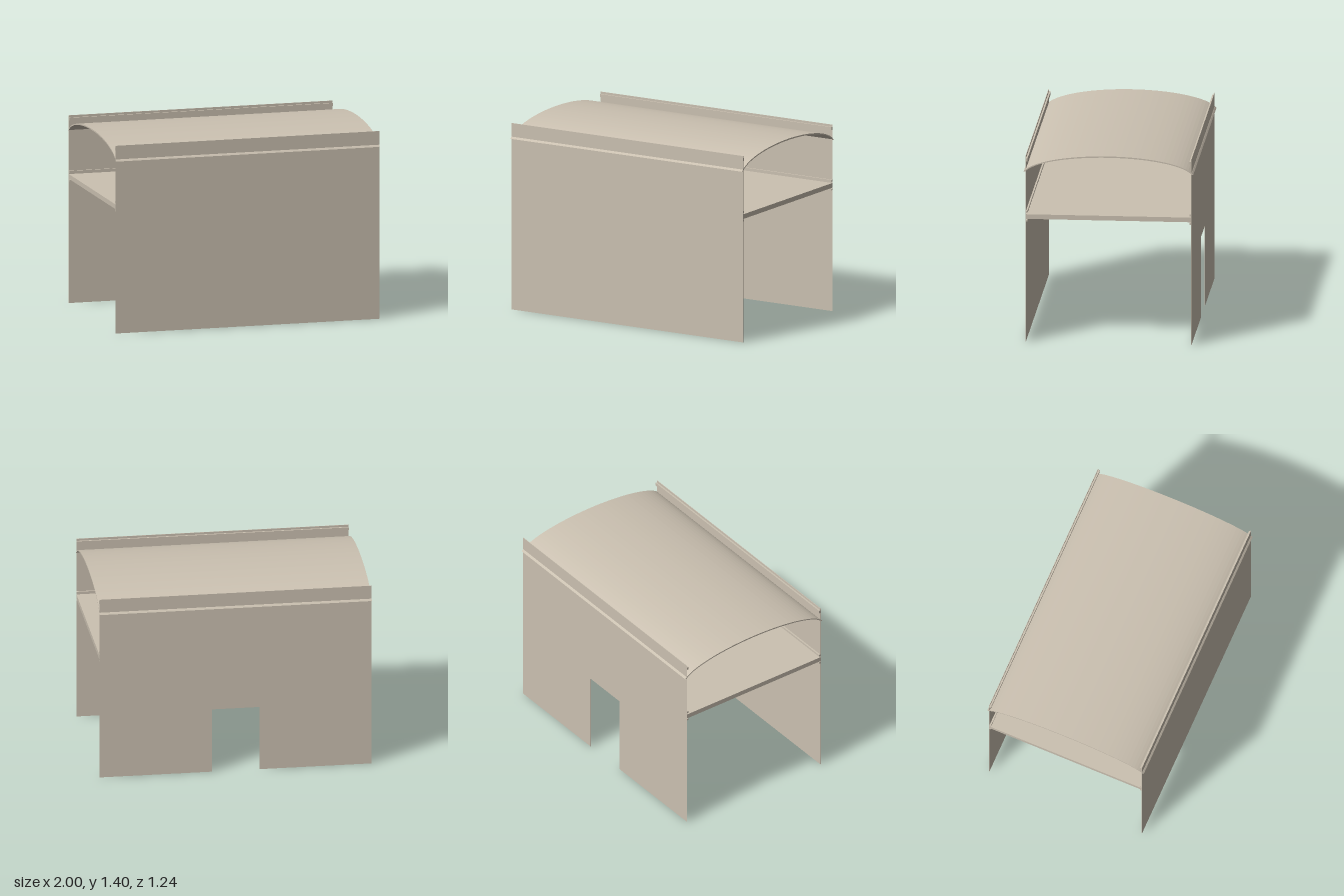
import * as THREE from 'three';

const LENGTH = 2;
const WALL_Z = 0.605, WALL_T = 0.004, WALL_H = 1.392;

export function createModel() {
  const model = new THREE.Group();
  model.name = 'vaultedShelter';
  const stone = new THREE.MeshStandardMaterial({ color: 0xcbc1b1 });
  stone.name = 'warm beige';

  const add = (name, geometry, x = 0, y = 0, z = 0) => {
    const mesh = new THREE.Mesh(geometry, stone);
    mesh.name = name;
    mesh.position.set(x, y, z);
    model.add(mesh);
  };

  // Thin side walls: the front one is solid, the back one has a central doorway
  const wall = (name, z, points) => {
    const shape = new THREE.Shape(points.map(([x, y]) => new THREE.Vector2(x, y)));
    add(name, new THREE.ExtrudeGeometry(shape, { depth: WALL_T, bevelEnabled: false }), 0, 0, z - WALL_T / 2);
  };
  const doorX = 0.175, doorH = 0.605;
  wall('frontWall', WALL_Z, [[-1, 0], [1, 0], [1, WALL_H], [-1, WALL_H]]);
  wall('backWall', -WALL_Z, [
    [-1, 0], [-doorX, 0], [-doorX, doorH], [doorX, doorH],
    [doorX, 0], [1, 0], [1, WALL_H], [-1, WALL_H],
  ]);

  // Upper floor slab spanning between the walls
  add('floorSlab', new THREE.BoxGeometry(LENGTH, 0.035, 1.213), 0, 0.939, 0);

  // Inner rails along both walls: above the roof edge, above and below the floor
  for (const side of [1, -1]) {
    for (const [name, y, height] of [['upperRail', 1.365, 0.022], ['floorRail', 0.974, 0.015], ['ceilingRail', 0.909, 0.012]]) {
      add(name, new THREE.BoxGeometry(LENGTH, height, 0.012), 0, y, side * 0.597);
    }
  }

  // Shallow vaulted roof whose cut edges poke through the walls
  const centreY = 1.25, edgeY = 1.277, steps = 40;
  const arc = (a, b) => {
    const start = Math.asin((edgeY - centreY) / b);
    return Array.from({ length: steps + 1 }, (_, i) => {
      const t = start + (Math.PI - 2 * start) * i / steps;
      return new THREE.Vector2(a * Math.cos(t), centreY + b * Math.sin(t));
    });
  };
  const profile = new THREE.Shape([...arc(0.63, 0.153), ...arc(0.62, 0.143).reverse()]);
  const roof = new THREE.ExtrudeGeometry(profile, { depth: LENGTH, bevelEnabled: false });
  roof.translate(0, 0, -LENGTH / 2).rotateY(Math.PI / 2);
  add('vaultedRoof', roof);

  return model;
}
